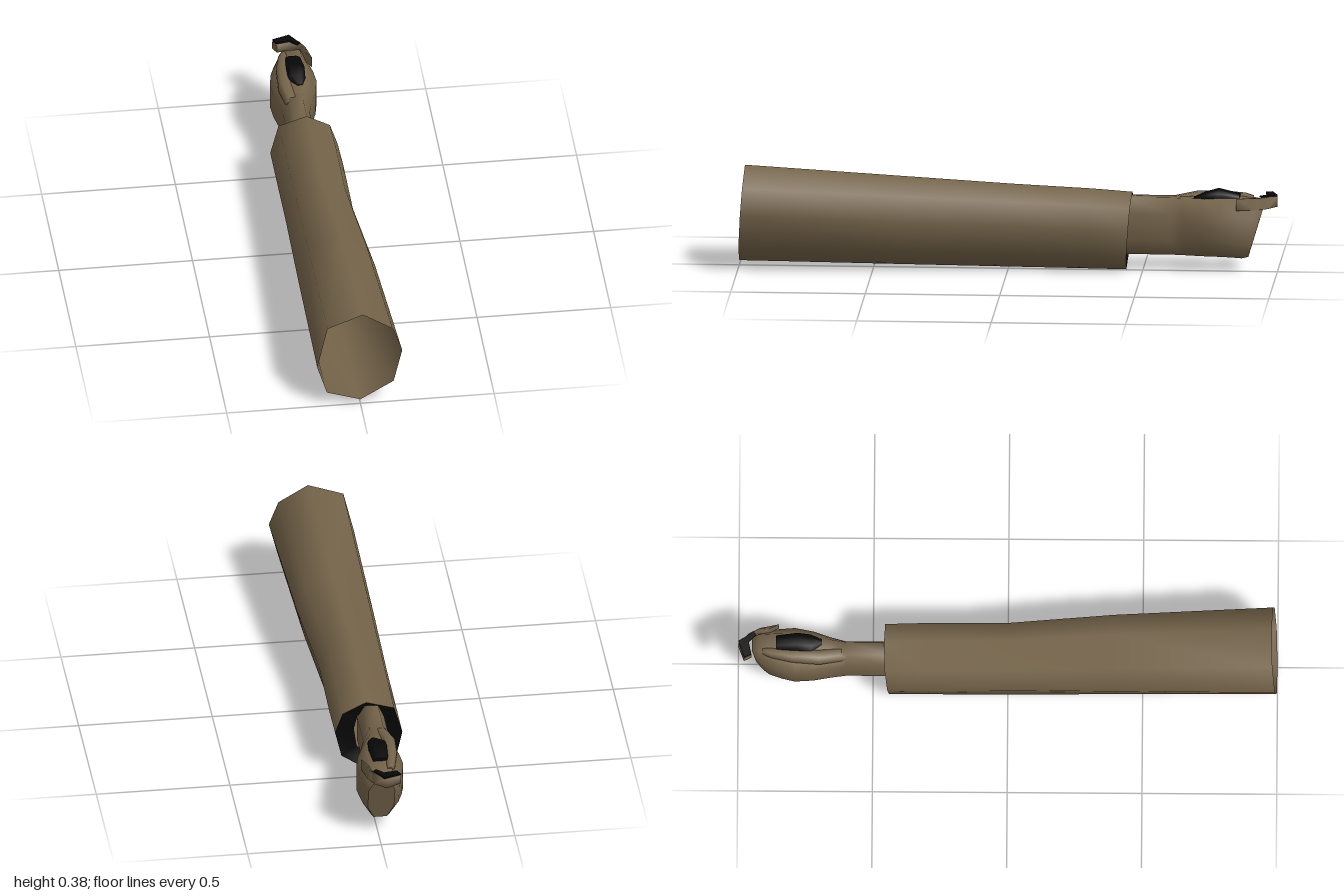
import * as THREE from 'three';

const brown = new THREE.MeshStandardMaterial({ color: 0x75644a, side: THREE.DoubleSide });
brown.name = 'brown cloth';
const black = new THREE.MeshStandardMaterial({ color: 0x080808, side: THREE.DoubleSide });
black.name = 'near black';

// Skins a list of equal-length closed rings; optionally closes the ends with a fan.
function loft(name, rings, material, capStart = false, capEnd = false) {
  const n = rings[0].length;
  const pos = rings.flat(2);
  const index = [];
  for (let r = 0; r < rings.length - 1; r++) {
    for (let i = 0; i < n; i++) {
      const j = (i + 1) % n;
      const a = r * n + i, a1 = r * n + j, b = a + n, b1 = a1 + n;
      index.push(a, b, a1, a1, b, b1);
    }
  }
  const cap = (ring, flip) => {
    const start = pos.length / 3;
    ring.forEach((p) => pos.push(...p));
    for (let i = 1; i < n - 1; i++) {
      index.push(start, start + (flip ? i + 1 : i), start + (flip ? i : i + 1));
    }
  };
  if (capStart) cap(rings[0], false);
  if (capEnd) cap(rings[rings.length - 1], true);
  const geo = new THREE.BufferGeometry();
  geo.setAttribute('position', new THREE.Float32BufferAttribute(pos, 3));
  geo.setIndex(index);
  geo.computeVertexNormals();
  const mesh = new THREE.Mesh(geo, material);
  mesh.name = name;
  return mesh;
}

// Eight-sided rounded section between x0..x1 and y0..y1; slant leans it along z.
const UNIT = [[1, -0.45], [1, 0.45], [0.5, 1], [-0.5, 1], [-1, 0.45], [-1, -0.45], [-0.5, -1], [0.5, -1]];
function section(z, x0, x1, y0, y1, slant = 0) {
  return UNIT.map(([u, v]) => {
    const y = (y0 + y1) / 2 + v * (y1 - y0) / 2;
    return [(x0 + x1) / 2 + u * (x1 - x0) / 2, y, z - slant * (y - 0.06)];
  });
}

// Sleeve outlines, counter-clockwise from the top, given at both ends.
const FRONT = [[0.013, 0.384], [-0.12, 0.335], [-0.16, 0.17], [-0.125, 0.06], [0, 0.02], [0.125, 0.09], [0.158, 0.22], [0.123, 0.316]];
const REAR = [[-0.015, 0.295], [-0.12, 0.262], [-0.152, 0.15], [-0.13, 0.045], [-0.01, 0.002], [0.075, 0.062], [0.1, 0.168], [0.072, 0.25]];

// t blends the outline horizontally, s vertically.
function sleeveRing(z, t, s) {
  return FRONT.map(([x, y], i) => [
    THREE.MathUtils.lerp(x, REAR[i][0], t),
    THREE.MathUtils.lerp(y, REAR[i][1], s),
    z - 0.06 * (y - 0.2),
  ]);
}

export function createModel() {
  const model = new THREE.Group();
  model.name = 'arm';

  // Open sleeve
  const rear = sleeveRing(-0.449, 1, 1);
  model.add(loft('sleeve', [
    sleeveRing(0.989, 0, 0),
    sleeveRing(0.4, 0.45, 0.42),
    sleeveRing(0, 1, 0.72),
    sleeveRing(-0.3, 0.96, 0.88),
    rear,
  ], brown));

  // Dark lining between the cuff and the wrist
  const lining = rear.map(([x, y, z]) => [
    THREE.MathUtils.lerp(x, -0.032, 0.55),
    THREE.MathUtils.lerp(y, 0.165, 0.28),
    z + 0.02,
  ]);
  model.add(loft('cuffLining', [rear, lining], black));

  // Wrist and closed fist
  model.add(loft('hand', [
    section(-0.43, -0.085, 0.015, 0.06, 0.275),
    section(-0.6, -0.085, 0.015, 0.06, 0.275),
    section(-0.65, -0.092, 0.028, 0.06, 0.275),
    section(-0.72, -0.105, 0.052, 0.06, 0.277),
    section(-0.79, -0.11, 0.065, 0.06, 0.28),
    section(-0.83, -0.098, 0.06, 0.058, 0.28, 0.15),
    section(-0.87, -0.08, 0.052, 0.055, 0.272, 0.27),
    section(-0.893, -0.06, 0.038, 0.06, 0.25, 0.3),
  ], brown, false, true));

  // Thumb lying along the top of the fist
  model.add(loft('thumb', [
    section(-0.6, -0.07, -0.02, 0.23, 0.272),
    section(-0.7, -0.09, -0.04, 0.235, 0.29),
    section(-0.8, -0.085, -0.04, 0.245, 0.292),
    section(-0.88, -0.068, -0.035, 0.25, 0.288),
    section(-0.91, -0.055, -0.035, 0.255, 0.28),
  ], brown, true, true));

  // Dark ridge in the opening of the fist
  model.add(loft('gripOpening', [
    section(-0.69, -0.02, 0, 0.265, 0.28),
    section(-0.73, -0.05, 0.015, 0.265, 0.295),
    section(-0.78, -0.05, 0.018, 0.265, 0.31),
    section(-0.86, -0.045, 0.012, 0.265, 0.292),
  ], black, true, true));

  // Index finger hooked across the end
  const path = [[0.045, -0.87, 0.02], [0.03, -0.94, 0.02], [-0.012, -0.982, 0.018], [-0.07, -0.965, 0.014]];
  const fingerRing = ([x, z, h]) => [[h, h], [-h, h], [-h, -h], [h, -h]].map(([d, e]) =>
    [x + d * 0.5, 0.264 + e * 1.1, z + d]);
  model.add(loft('indexFinger', path.map(fingerRing), brown, true, true));

  // Dark upper face of the finger
  const outline = [[0.022, -0.945], [-0.012, -1], [-0.076, -0.978], [-0.065, -0.953], [-0.015, -0.962], [0.01, -0.935]];
  const shape = new THREE.Shape(outline.map(([x, z]) => new THREE.Vector2(x, -z)));
  const plate = new THREE.Mesh(new THREE.ExtrudeGeometry(shape, { depth: 0.006, bevelEnabled: false }), black);
  plate.name = 'fingerTop';
  plate.rotation.x = -Math.PI / 2;
  plate.position.y = 0.285;
  model.add(plate);

  return model;
}
